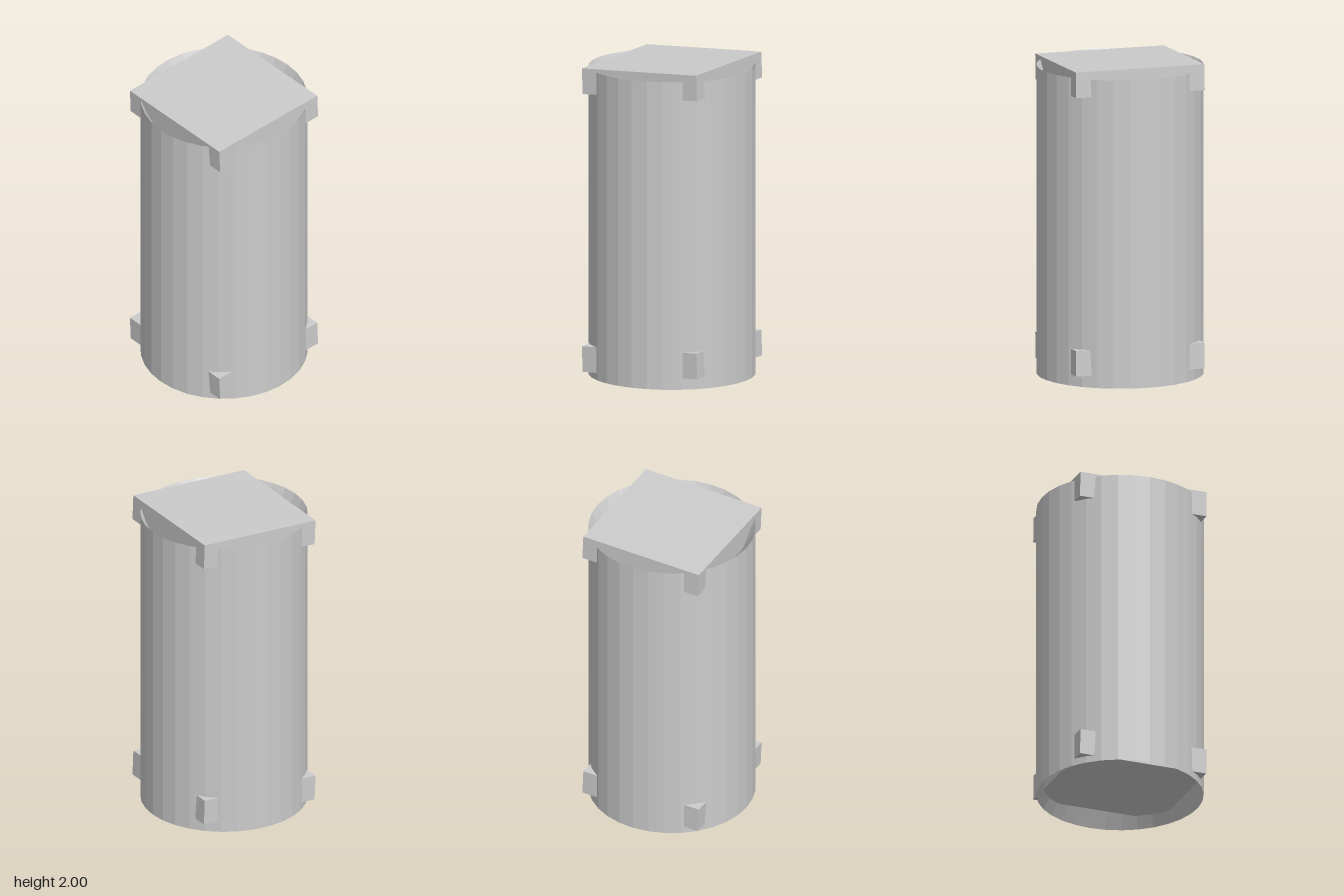
import * as THREE from 'three';

const material = new THREE.MeshStandardMaterial({ color: 0xcccccc, flatShading: true });

export function createModel() {
  const model = new THREE.Group();
  model.name = 'drum';

  // Straight 32-sided wall whose two ends sink as funnels to the middle
  const radius = 0.52, height = 1.95;
  const profile = [
    [0, height / 2], [radius, 0], [radius, height], [0, height / 2],
  ].map(([r, y]) => new THREE.Vector2(r, y));
  const body = new THREE.Mesh(new THREE.LatheGeometry(profile, 32), material);
  body.name = 'body';
  model.add(body);

  // Slightly tilted square slabs, their corners poking through the wall
  const slabGeometry = new THREE.BoxGeometry(0.81, 0.162, 0.84);
  for (const [name, y] of [['bottomSlab', 0.14], ['topSlab', 1.902]]) {
    const slab = new THREE.Mesh(slabGeometry, material);
    slab.name = name;
    slab.position.y = y;
    slab.rotation.z = THREE.MathUtils.degToRad(2.4);
    model.add(slab);
  }

  return model;
}
